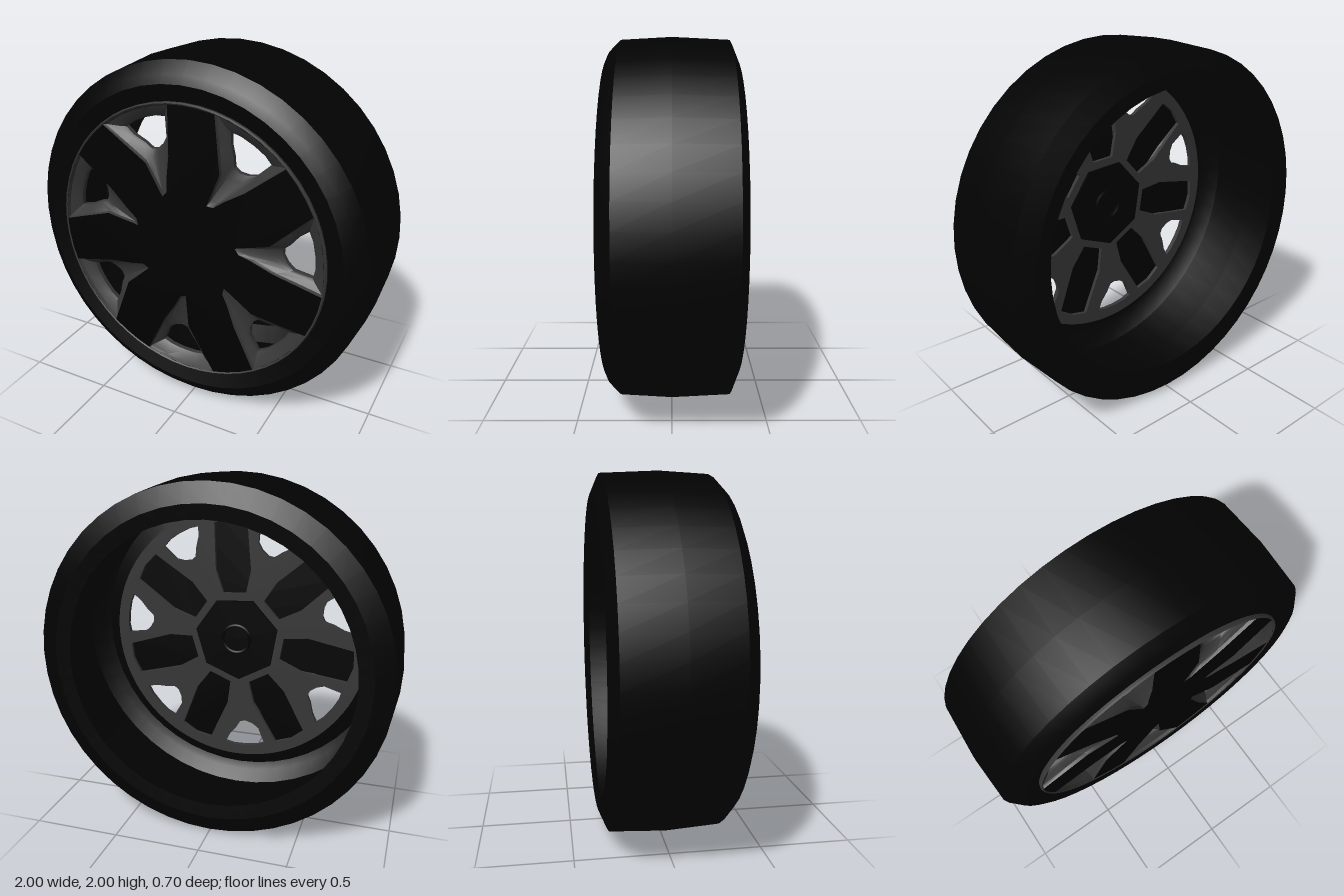
import * as THREE from 'three';
import { toCreasedNormals } from 'three/addons/utils/BufferGeometryUtils.js';

const SPOKES = 7;
const STEP = (Math.PI * 2) / SPOKES;
const VALLEY_ANGLE = 0.164; // direction of the first gap between spokes

// Outlines as [radial, tangential] pairs; valley and window correspond point by point
const VALLEY = [[0.3, 0.017], [0.4, 0.03], [0.495, 0.042], [0.61, 0.12], [0.75, 0.216], [0.771, 0.1], [0.777, 0],
  [0.771, -0.1], [0.75, -0.216], [0.5, -0.112], [0.385, -0.048], [0.318, -0.018]];
const WINDOW = [[0.55, 0.008], [0.565, 0.02], [0.59, 0.035], [0.645, 0.085], [0.698, 0.114], [0.712, 0.06],
  [0.715, -0.02], [0.708, -0.09], [0.69, -0.14], [0.59, -0.107], [0.56, -0.07], [0.543, -0.025]];
const PANEL = [[0.28, -0.07], [0.42, -0.108], [0.7, -0.1], [0.718, 0], [0.7, 0.1], [0.42, 0.108], [0.28, 0.07]];

// Places an outline at a given angle around the axle
function place(points, angle) {
  const c = Math.cos(angle), s = Math.sin(angle);
  return points.map(([u, t]) => new THREE.Vector2(u * c - t * s, u * s + t * c));
}

// Disc with outlines cut out, extruded from z0 to z1
function cutDisc(radius, outlines, z0, z1) {
  const shape = new THREE.Shape().absarc(0, 0, radius, 0, Math.PI * 2);
  for (const o of outlines) shape.holes.push(new THREE.Path(o));
  const g = new THREE.ExtrudeGeometry(shape, { depth: z1 - z0, bevelEnabled: false, curveSegments: 56 });
  return g.translate(0, 0, z0);
}

// Sloping pocket from the spoke face down to the window
function pocket(angle) {
  const mix = (f) => VALLEY.map(([u, t], i) => [u + (WINDOW[i][0] - u) * f, t + (WINDOW[i][1] - t) * f]);
  const rings = [[0, 0.342], [0.12, 0.325], [0.8, 0.302], [1, 0.288], [1, 0.262]];
  const n = VALLEY.length, pos = [], index = [];
  for (const [f, z] of rings) for (const p of place(mix(f), angle)) pos.push(p.x, p.y, z);
  for (let r = 0; r < rings.length - 1; r++) {
    for (let i = 0; i < n; i++) {
      const a = r * n + i, b = r * n + ((i + 1) % n);
      index.push(a, a + n, b, b, a + n, b + n);
    }
  }
  const g = new THREE.BufferGeometry();
  g.setAttribute('position', new THREE.Float32BufferAttribute(pos, 3));
  g.setIndex(index);
  return toCreasedNormals(g, 0.6);
}

// Surface of revolution about the axle; profile as [radius, z]
function revolve(profile, segments) {
  const g = new THREE.LatheGeometry(profile.map(([r, z]) => new THREE.Vector2(r, z)), segments);
  return toCreasedNormals(g.rotateX(Math.PI / 2), 0.5);
}

export function createModel() {
  const rubber = new THREE.MeshStandardMaterial({ color: 0x020202, side: THREE.DoubleSide });
  rubber.name = 'rubber black';
  const gloss = new THREE.MeshStandardMaterial({ color: 0x000000 });
  gloss.name = 'spoke black';
  const grey = new THREE.MeshStandardMaterial({ color: 0x363636, side: THREE.DoubleSide });
  grey.name = 'dark grey';

  const model = new THREE.Group();
  model.name = 'wheel';
  const wheel = new THREE.Group();
  wheel.name = 'wheelAssembly';
  wheel.position.y = 1;
  model.add(wheel);
  const add = (name, geometry, material, parent = wheel) => {
    const m = new THREE.Mesh(geometry, material);
    m.name = name;
    parent.add(m);
  };

  // Tyre: hollow shell of tread and two sidewalls, open towards the axle
  add('tyre', revolve([[0.8, -0.34], [0.88, -0.35], [0.985, -0.305], [1, 0], [0.985, 0.27], [0.925, 0.33],
    [0.88, 0.35], [0.789, 0.322]], 48), rubber);

  const cover = new THREE.Group();
  cover.name = 'wheelCover';
  wheel.add(cover);

  const valleys = [], windows = [], panels = [];
  for (let i = 0; i < SPOKES; i++) {
    const a = VALLEY_ANGLE + i * STEP;
    valleys.push(place(VALLEY, a));
    windows.push(place(WINDOW, a));
    panels.push(place(PANEL, a + STEP / 2));
    add('valley' + (i + 1), pocket(a), grey, cover);
  }

  // Seven-spoke front face and grey outer lip
  add('spokeFace', cutDisc(0.781, valleys, 0.315, 0.342), gloss, cover);
  add('coverLip', revolve([[0.776, 0.295], [0.786, 0.295], [0.791, 0.338], [0.785, 0.347], [0.778, 0.342],
    [0.776, 0.295]], 56), grey, cover);

  // Rear frame with recessed panels behind each spoke
  add('rearFrame', cutDisc(0.779, [...windows, ...panels], 0.262, 0.285), grey, cover);

  // Hub plate at the back with a raised ring
  const hub = new THREE.CylinderGeometry(0.26, 0.26, 0.045, SPOKES).rotateX(Math.PI / 2);
  hub.rotateZ(VALLEY_ANGLE + Math.PI / 2).translate(0, 0, 0.27);
  add('rearHub', hub, gloss, cover);
  add('rearHubRing', new THREE.TorusGeometry(0.085, 0.01, 6, 28).translate(0, 0, 0.248), gloss, cover);

  return model;
}
